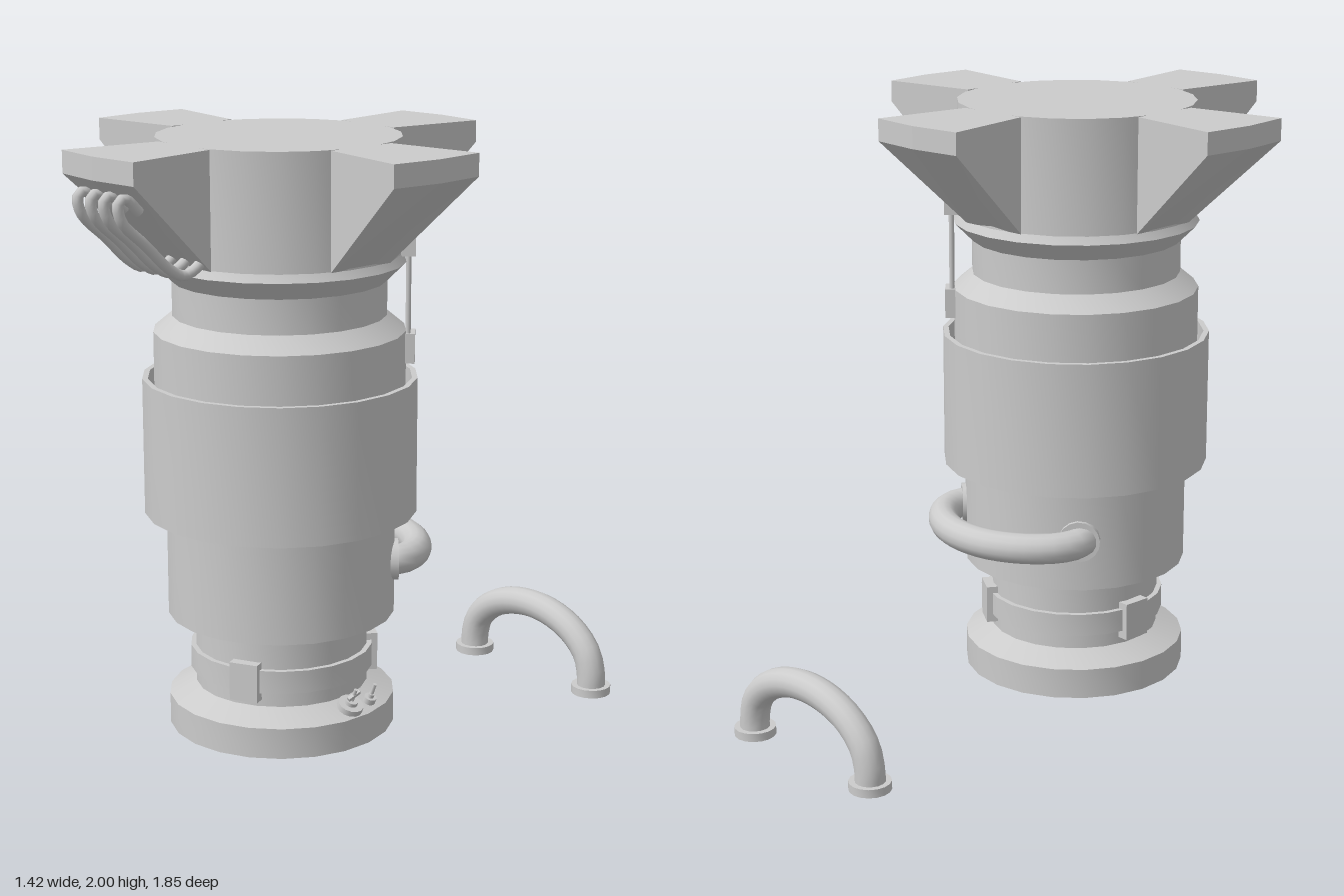
import * as THREE from 'three';
import { toCreasedNormals } from 'three/addons/utils/BufferGeometryUtils.js';

const grey = new THREE.MeshStandardMaterial({ color: 0xcccccc, side: THREE.DoubleSide });
const SIDES = 22;
const V = (x, y, z) => new THREE.Vector3(x, y, z);

function add(parent, name, geometry) {
  const mesh = new THREE.Mesh(geometry, grey);
  mesh.name = name;
  parent.add(mesh);
  return mesh;
}

// Turned part from [radius, height] pairs, bottom to top
function turned(profile, sides = SIDES) {
  const points = profile.map(([r, y]) => new THREE.Vector2(r, y));
  return toCreasedNormals(new THREE.LatheGeometry(points, sides), 0.4);
}

function tube(points, radius, steps, sides) {
  return new THREE.TubeGeometry(new THREE.CatmullRomCurve3(points), steps, radius, sides);
}

// Hollow ring lying on y = 0
function ring(inner, outer, height, sides = 16) {
  return turned([[inner, 0], [outer, 0], [outer, height], [inner, height], [inner, 0]], sides);
}

// Tapered fin pointing to +z, with a blunt peaked tip and a sloping underside
function finGeometry() {
  const g = new THREE.BoxGeometry(2, 2, 2, 2, 1, 1);
  const p = g.attributes.position;
  for (let i = 0; i < p.count; i++) {
    const u = p.getX(i), top = p.getY(i) > 0, outer = p.getZ(i) > 0;
    const half = outer ? 0.172 : 0.122;
    const y = top ? 2 : outer ? 1.93 : 1.635;
    const z = outer ? 0.712 - 0.017 * Math.abs(u) : 0.375;
    p.setXYZ(i, u * half, y, z);
  }
  return toCreasedNormals(g, 0.05);
}

// Group turned about the vertical axis; angle 0 faces the front
function spoke(parent, name, degrees) {
  const group = new THREE.Group();
  group.name = name;
  group.rotation.y = THREE.MathUtils.degToRad(degrees);
  parent.add(group);
  return group;
}

export function createModel() {
  const model = new THREE.Group();
  model.name = 'column';
  const tower = new THREE.Group();
  tower.name = 'tower';
  tower.position.z = 0.208;
  model.add(tower);

  // Base, neck, stepped body and head
  add(tower, 'body', turned([
    [0, 0.08], [0.368, 0.08], [0.368, 0.18], [0.28, 0.22], [0.28, 0.43],
    [0.368, 0.46], [0.368, 0.82], [0.4, 0.84], [0.4, 1.39], [0.34, 1.44],
    [0.34, 1.55], [0.4, 1.61], [0.385, 1.635], [0.385, 2], [0, 2],
  ]));

  // Loose sleeve round the body
  add(tower, 'sleeve', ring(0.42, 0.438, 0.44, SIDES)).position.y = 0.8;

  // Clamp band with three clamps
  add(tower, 'clampBand', ring(0.27, 0.297, 0.075, SIDES)).position.y = 0.27;
  for (const angle of [26, 146, 266]) {
    const s = spoke(tower, 'clamp', angle);
    add(s, 'clampBlock', new THREE.BoxGeometry(0.095, 0.125, 0.07)).position.set(0, 0.305, 0.275);
  }

  // Four fins
  const fin = finGeometry();
  for (let i = 0; i < 4; i++) add(spoke(tower, 'finMount', i * 90), 'fin', fin);

  // Four handrail tubes under the front fin
  for (const x of [-0.095, -0.032, 0.032, 0.1]) {
    add(model, 'finTube', tube([
      V(x, 1.84, 0.83), V(x, 1.885, 0.88), V(x, 1.872, 0.905), V(x, 1.82, 0.895),
      V(x, 1.74, 0.81), V(x, 1.66, 0.725), V(x, 1.632, 0.67), V(x, 1.65, 0.62), V(x, 1.69, 0.58),
    ], 0.017, 28, 8));
  }

  // Cable run joining head and body
  const cable = spoke(tower, 'cableRun', 135);
  for (const y of [1.335, 1.677]) {
    add(cable, 'cableBox', new THREE.BoxGeometry(0.085, 0.095, 0.05)).position.set(0, y, 0.402);
  }
  for (const x of [-0.024, 0, 0.024]) {
    add(cable, 'cable', new THREE.CylinderGeometry(0.008, 0.008, 0.27, 8)).position.set(x, 1.506, 0.405);
  }

  // Curved pipe on the back with a collar at each end
  const half = [[0.22, 0.02], [0.275, -0.05], [0.265, -0.13], [0.2, -0.21], [0.1, -0.265]];
  const backPath = [
    ...half.map(([x, z]) => V(-x, 0.63, z)),
    V(0, 0.63, -0.28),
    ...half.reverse().map(([x, z]) => V(x, 0.63, z)),
  ];
  add(model, 'backPipe', tube(backPath, 0.049, 24, 14));
  for (const side of [-1, 1]) {
    const collar = add(model, 'backPipeCollar', new THREE.CylinderGeometry(0.068, 0.068, 0.03, 16));
    collar.position.set(side * 0.262, 0.63, -0.045);
    collar.quaternion.setFromUnitVectors(V(0, 1, 0), V(side * 0.65, 0, -0.76).normalize());
  }

  // Detached arched pipe standing on two flanges
  const arch = new THREE.Group();
  arch.name = 'archPipe';
  arch.position.set(0.133, 0, -0.857);
  model.add(arch);
  const archPath = [V(-0.282, 0.005, 0), V(-0.282, 0.06, 0)];
  for (let i = 1; i < 8; i++) {
    const a = Math.PI * (1 - i / 8);
    archPath.push(V(0.282 * Math.cos(a), 0.06 + 0.19 * Math.sin(a), 0));
  }
  archPath.push(V(0.282, 0.06, 0), V(0.282, 0.005, 0));
  add(arch, 'arch', tube(archPath, 0.049, 24, 14));
  for (const x of [-0.282, 0.282]) add(arch, 'archFlange', ring(0.04, 0.068, 0.028)).position.x = x;

  // Two small valves on the sloping base shoulder
  for (const [z, r, stem] of [[0, 0.042, 0.06], [-0.085, 0.02, 0.055]]) {
    const valve = new THREE.Group();
    valve.name = 'valve';
    valve.position.set(0.328, 0.2, z);
    valve.rotation.z = -0.4;
    tower.add(valve);
    add(valve, 'valveDisc', new THREE.CylinderGeometry(r, r, 0.02, 14)).position.y = 0.012;
    add(valve, 'valveHub', new THREE.CylinderGeometry(r * 0.5, r * 0.5, 0.015, 12)).position.y = 0.028;
    add(valve, 'valveStem', new THREE.CylinderGeometry(0.006, 0.006, stem, 8)).position.y = 0.02 + stem / 2;
    if (r > 0.03) {
      const lever = add(valve, 'valveLever', new THREE.BoxGeometry(0.012, 0.012, 0.045));
      lever.position.y = 0.055;
      lever.rotation.x = 0.5;
    }
  }
  return model;
}
